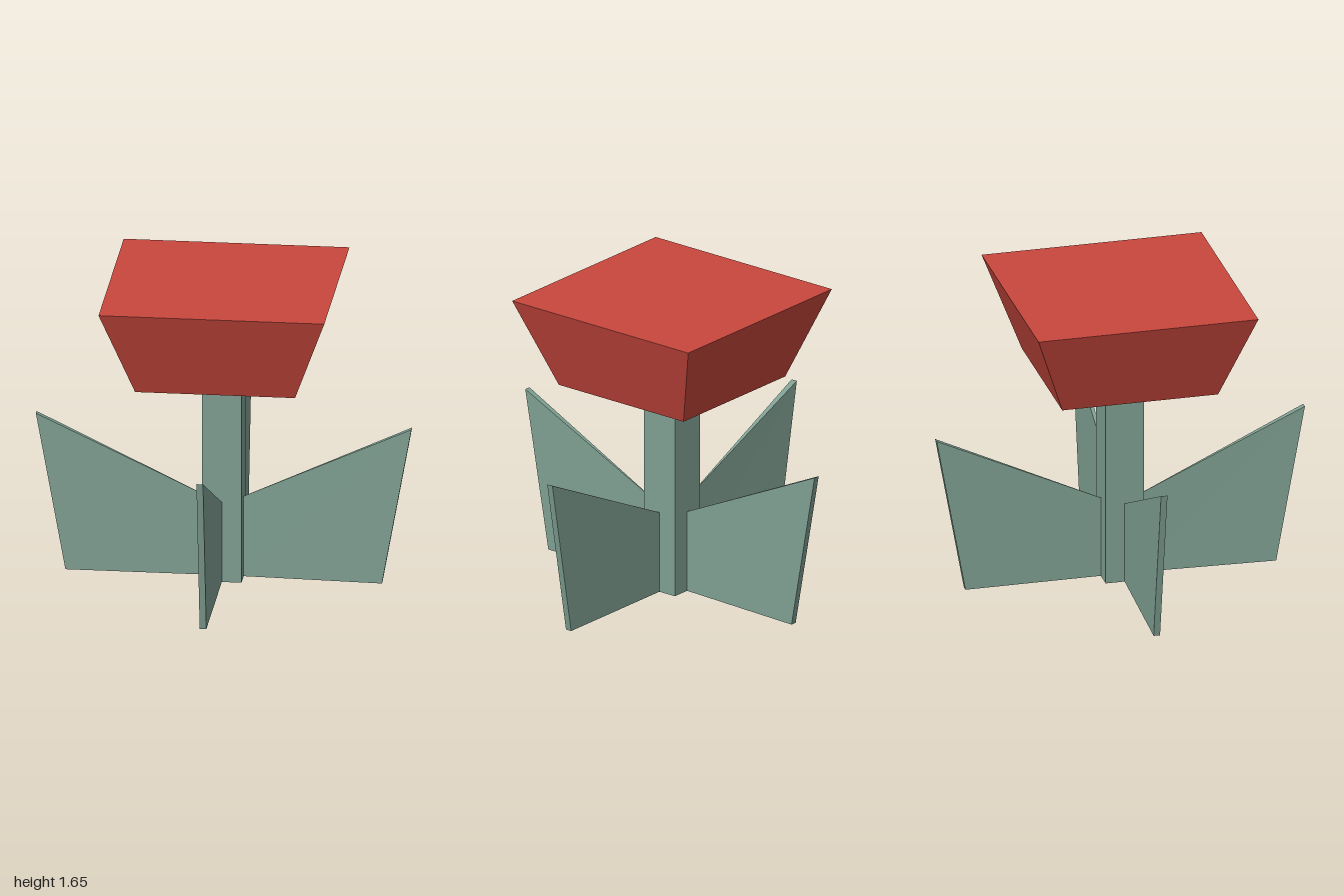
import * as THREE from 'three';

const green = new THREE.MeshStandardMaterial({ color: 0x7f9f92, flatShading: true });
const red = new THREE.MeshStandardMaterial({ color: 0xc8473d, flatShading: true });

// Wedge-shaped leaf: a box whose corners are moved, thin at the stem and thick at the tip
function leafGeometry() {
  const geometry = new THREE.BoxGeometry(1, 1, 1);
  const p = geometry.attributes.position;
  for (let i = 0; i < p.count; i++) {
    const outer = p.getX(i) > 0, upper = p.getY(i) > 0, thick = p.getZ(i) > 0;
    const x = outer ? (upper ? 1 : 0.843) : 0.1;
    const y = upper ? (outer ? 0.87 : 0.447) : 0;
    const z = thick ? (outer ? 0.035 : 0.002) : 0;
    p.setXYZ(i, x, y, z);
  }
  geometry.computeVertexNormals();
  return geometry;
}

export function createModel() {
  const model = new THREE.Group();
  model.name = 'flower';

  // Square stem
  const stem = new THREE.Mesh(new THREE.BoxGeometry(0.21, 1.165, 0.21), green);
  stem.name = 'stem';
  stem.position.y = 1.165 / 2;
  model.add(stem);

  // Four leaves, turned around the stem
  const leafShape = leafGeometry();
  for (let i = 0; i < 4; i++) {
    const leaf = new THREE.Mesh(leafShape, green);
    leaf.name = `leaf${i + 1}`;
    leaf.rotation.y = i * Math.PI / 2;
    model.add(leaf);
  }

  // Blossom: square block widening upwards
  const blossomShape = new THREE.CylinderGeometry(0.6 * Math.SQRT2, 0.425 * Math.SQRT2, 0.485, 4);
  blossomShape.rotateY(Math.PI / 4);
  const blossom = new THREE.Mesh(blossomShape, red);
  blossom.name = 'blossom';
  blossom.position.y = 1.165 + 0.485 / 2;
  model.add(blossom);

  return model;
}
